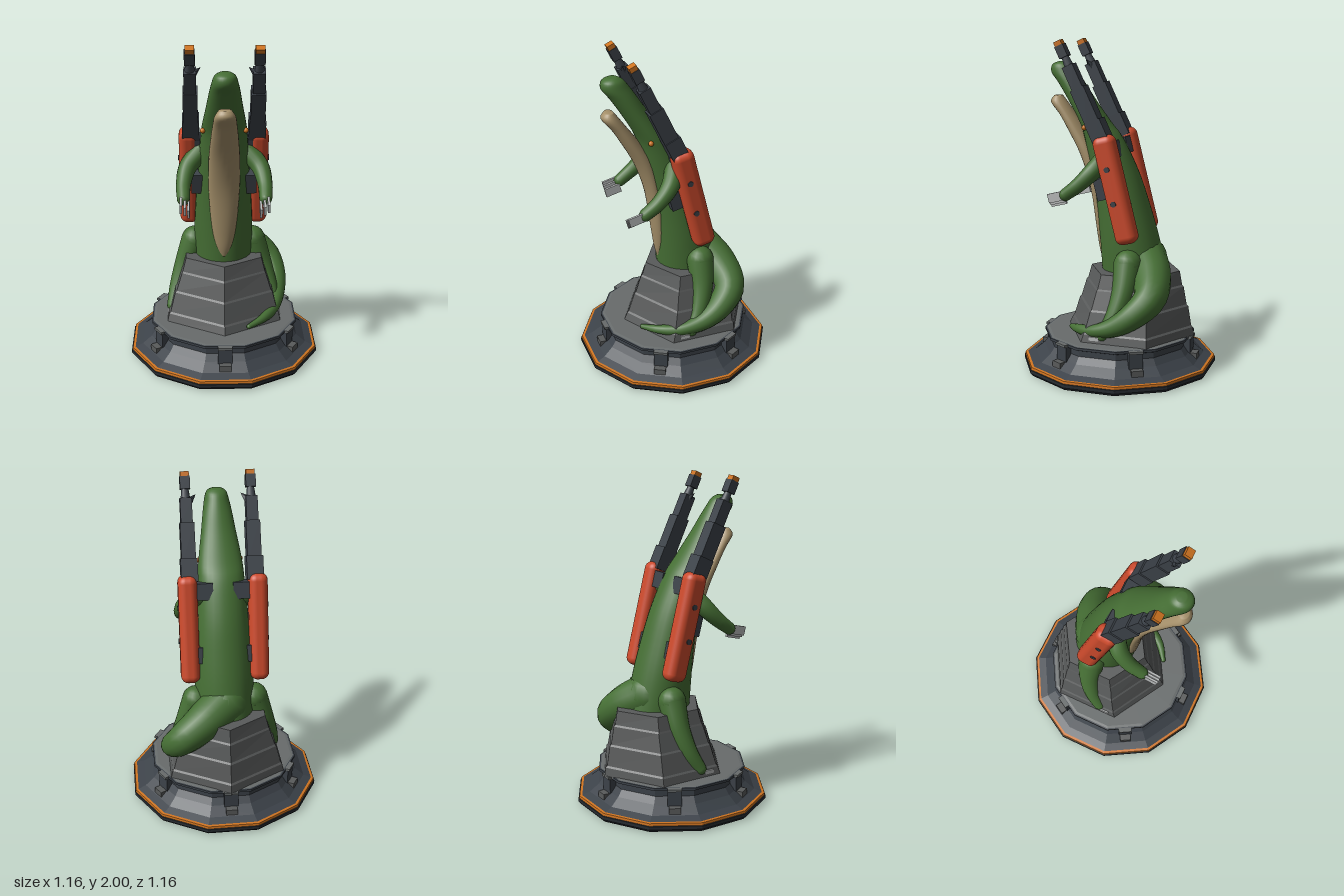
import * as THREE from 'three';
import { RoundedBoxGeometry } from 'three/addons/geometries/RoundedBoxGeometry.js';

const mat = (name, color) => Object.assign(new THREE.MeshStandardMaterial({ color }), { name });

// Faceted normals without touching the material
function flat(geo) {
  const g = geo.index ? geo.toNonIndexed() : geo;
  g.computeVertexNormals();
  return g;
}

// Skin over horizontal ellipses: [y, zFront, zBack, halfWidth]; both ends closed
function loft(rows, sides, offset = 0) {
  const first = rows[0], last = rows[rows.length - 1];
  const tip = ([y, f, b]) => [y, (f + b) / 2, (f + b) / 2, 0];
  const rings = [tip(first), ...rows, tip(last)];
  const pos = [], idx = [];
  rings.forEach(([y, f, b, w], i) => {
    for (let j = 0; j < sides; j++) {
      const a = (j / sides) * Math.PI * 2 + offset;
      pos.push(Math.cos(a) * w, y, (f + b) / 2 + (Math.sin(a) * (f - b)) / 2);
      if (i === rings.length - 1) continue;
      const p = i * sides + j, q = i * sides + ((j + 1) % sides);
      idx.push(p, p + sides, q, p + sides, q + sides, q);
    }
  });
  const g = new THREE.BufferGeometry();
  g.setAttribute('position', new THREE.Float32BufferAttribute(pos, 3));
  g.setIndex(idx);
  g.computeVertexNormals();
  return g;
}

// Refine loft rows with a spline so the outline is smooth
function smoothRows(rows, steps = 4) {
  const out = [];
  for (let i = 0; i < rows.length - 1; i++) {
    const [a, b, c, d] = [rows[Math.max(i - 1, 0)], rows[i], rows[i + 1], rows[Math.min(i + 2, rows.length - 1)]];
    for (let s = 0; s < steps; s++) {
      const t = s / steps;
      out.push(b.map((v, k) => 0.5 * (2 * v + (c[k] - a[k]) * t + (2 * a[k] - 5 * v + 4 * c[k] - d[k]) * t * t
        + (3 * v - a[k] - 3 * c[k] + d[k]) * t ** 3)));
    }
  }
  out.push(rows[rows.length - 1]);
  return out;
}

export function createModel() {
  const M = {
    green: mat('hide green', 0x456e34),
    tan: mat('belly tan', 0xa5906a),
    red: mat('housing red', 0xcc4a2c),
    steel: mat('gunmetal', 0x3c4249),
    dark: mat('base black', 0x272c31),
    rock: mat('rock grey', 0x595b5b),
    deck: mat('deck grey', 0x686c6c),
    orange: mat('glow orange', 0xcf7420),
    claw: mat('claw grey', 0xbcbebe),
  };
  const model = new THREE.Group();
  const add = (name, geo, material, parent = model) => {
    const m = new THREE.Mesh(geo, material);
    m.name = name;
    parent.add(m);
    return m;
  };
  const box = (name, size, at, material, parent) => {
    const m = add(name, new THREE.BoxGeometry(...size), material, parent);
    m.position.set(...at);
    return m;
  };

  // Tapered limb through points [x, y, z, radius] with round ends
  const limb = (name, pts, material, parent = model) => {
    const group = new THREE.Group();
    group.name = name;
    parent.add(group);
    const curve = new THREE.CatmullRomCurve3(pts.map(p => new THREE.Vector3(p[0], p[1], p[2])));
    const n = 28, sides = 16, geo = new THREE.TubeGeometry(curve, n, 1, sides);
    const pos = geo.attributes.position, v = new THREE.Vector3();
    for (let i = 0; i <= n; i++) {
      const c = curve.getPointAt(i / n);
      const f = (i / n) * (pts.length - 1), k = Math.min(Math.floor(f), pts.length - 2);
      const r = THREE.MathUtils.lerp(pts[k][3], pts[k + 1][3], f - k);
      for (let j = 0; j <= sides; j++) {
        const q = i * (sides + 1) + j;
        v.fromBufferAttribute(pos, q).sub(c).multiplyScalar(r).add(c);
        pos.setXYZ(q, v.x, v.y, v.z);
      }
    }
    add(name + 'Skin', geo, material, group);
    for (const p of [pts[0], pts[pts.length - 1]]) {
      add(name + 'End', new THREE.SphereGeometry(p[3], 16, 10), material, group).position.set(p[0], p[1], p[2]);
    }
  };

  // Twelve-sided base, radii measured to the flats
  const ring = (name, profile, material) => add(name, flat(new THREE.LatheGeometry(
    profile.map(([r, y]) => new THREE.Vector2(r / Math.cos(Math.PI / 12), y)), 12, Math.PI / 12)), material);
  ring('basePlate', [[0, 0], [0.565, 0], [0.58, 0.018], [0.58, 0.038], [0.57, 0.04]], M.dark);
  ring('glowBand', [[0.57, 0.038], [0.575, 0.04], [0.573, 0.055], [0.55, 0.058]], M.orange);
  ring('baseSkirt', [[0.56, 0.056], [0.51, 0.075], [0.455, 0.12], [0.425, 0.16], [0.425, 0.195],
    [0.45, 0.205], [0.45, 0.22], [0.43, 0.222]], M.steel);
  ring('deck', [[0.44, 0.221], [0.425, 0.224], [0, 0.224]], M.deck);

  // Six buttresses around the skirt
  for (let i = 0; i < 6; i++) {
    const spoke = new THREE.Group();
    spoke.name = 'buttress';
    spoke.rotation.y = (i * Math.PI) / 3;
    model.add(spoke);
    box('buttressBlock', [0.085, 0.11, 0.06], [0, 0.15, 0.435], M.steel, spoke);
    box('buttressCap', [0.085, 0.015, 0.06], [0, 0.213, 0.445], M.deck, spoke);
    box('buttressFoot', [0.07, 0.05, 0.06], [0, 0.09, 0.475], M.rock, spoke);
  }

  // Hexagonal rock with slight ledges
  add('rock', flat(loft([
    [0.21, 0.335, -0.48, 0.41], [0.27, 0.31, -0.47, 0.395], [0.28, 0.3, -0.46, 0.385], [0.4, 0.26, -0.44, 0.35],
    [0.41, 0.25, -0.43, 0.34], [0.52, 0.215, -0.41, 0.3], [0.53, 0.205, -0.4, 0.295], [0.615, 0.18, -0.385, 0.27],
  ], 6, Math.PI / 6)), M.rock);

  // Rearing body running up into the upper jaw
  add('body', loft(smoothRows([
    [0.55, 0.1, -0.31, 0.18], [0.8, 0.115, -0.25, 0.18], [1.0, 0.135, -0.19, 0.17], [1.2, 0.17, -0.12, 0.155],
    [1.4, 0.21, -0.02, 0.14], [1.5, 0.24, 0.06, 0.13], [1.64, 0.32, 0.16, 0.105], [1.74, 0.385, 0.225, 0.088],
    [1.8, 0.43, 0.265, 0.075], [1.845, 0.425, 0.3, 0.06], [1.865, 0.385, 0.335, 0.03],
  ]), 28), M.green);

  // Pale belly ending in the lower jaw
  add('bellyAndLowerJaw', loft(smoothRows([
    [0.65, 0.105, 0.06, 0.02], [0.72, 0.122, 0.05, 0.05], [0.85, 0.14, 0.05, 0.075], [1.1, 0.175, 0.08, 0.092],
    [1.3, 0.24, 0.12, 0.092], [1.46, 0.325, 0.22, 0.08], [1.55, 0.38, 0.285, 0.07], [1.62, 0.435, 0.335, 0.06],
    [1.66, 0.415, 0.365, 0.035],
  ]), 24), M.tan);

  // Tail curling round the rock on one side
  limb('tail', [[0, 0.68, -0.16, 0.14], [0.15, 0.59, -0.25, 0.125], [0.27, 0.5, -0.27, 0.105],
    [0.325, 0.41, -0.19, 0.085], [0.335, 0.33, -0.07, 0.065], [0.31, 0.285, 0.07, 0.042],
    [0.24, 0.27, 0.19, 0.03], [0.15, 0.25, 0.26, 0.015]], M.green);

  for (const s of [1, -1]) {
    // Legs straddling the rock
    limb('leg', [[s * 0.18, 0.68, -0.11, 0.085], [s * 0.24, 0.52, -0.1, 0.07], [s * 0.29, 0.38, -0.06, 0.055],
      [s * 0.32, 0.27, 0, 0.04]], M.green);
    // Arms reaching forward
    limb('arm', [[s * 0.14, 1.31, 0.04, 0.06], [s * 0.215, 1.23, 0.1, 0.055], [s * 0.24, 1.15, 0.18, 0.045],
      [s * 0.24, 1.09, 0.26, 0.038]], M.green);
    for (const k of [-1, 0, 1]) {
      box('footClaw', [0.012, 0.022, 0.06], [s * 0.325 + k * 0.022, 0.25, 0.05], M.claw);
      const c = box('handClaw', [0.014, 0.055, 0.1], [s * (0.232 + k * 0.022), 1.06 + k * 0.015, 0.315], M.claw);
      c.rotation.x = 0.25;
    }
    add('eye', new THREE.SphereGeometry(0.016, 12, 8), M.orange).position.set(s * 0.125, 1.48, 0.18);

    // Brackets holding the gun to the back
    box('upperBracket', [0.12, 0.1, 0.1], [s * 0.12, 1.35, 0.02], M.steel).rotation.x = 0.25;
    box('lowerBracket', [0.1, 0.13, 0.12], [s * 0.145, 1.13, 0.03], M.steel).rotation.x = 0.25;
    box('rearBracket', [0.12, 0.1, 0.08], [s * 0.12, 0.98, -0.09], M.steel).rotation.x = 0.25;

    // Red gun housing with bolts
    const housing = new THREE.Group();
    housing.name = 'gunHousing';
    housing.position.set(s * 0.21, 1.13, -0.045);
    housing.rotation.x = 0.245;
    model.add(housing);
    add('housingShell', new RoundedBoxGeometry(0.115, 0.655, 0.135, 4, 0.045), M.red, housing);
    for (const [y, z] of [[0.13, 0.005], [-0.075, 0.015]]) {
      const bolt = add('bolt', new THREE.CylinderGeometry(0.017, 0.017, 0.008, 12), M.steel, housing);
      bolt.position.set(s * 0.059, y, z);
      bolt.rotation.z = Math.PI / 2;
    }

    // Stepped barrel with glowing muzzle
    const barrel = new THREE.Group();
    barrel.name = 'gunBarrel';
    barrel.position.set(s * 0.195, 1.42, 0.045);
    barrel.rotation.x = 0.44;
    model.add(barrel);
    box('barrelCollar', [0.1, 0.14, 0.1], [0, 0.05, -0.005], M.steel, barrel);
    box('barrelBody', [0.085, 0.24, 0.09], [0, 0.21, 0], M.steel, barrel);
    box('barrelSleeve', [0.07, 0.15, 0.07], [0, 0.4, 0], M.steel, barrel);
    add('barrelNeck', new THREE.CylinderGeometry(0.02, 0.03, 0.08, 12), M.steel, barrel).position.set(0, 0.5, 0);
    box('muzzle', [0.06, 0.075, 0.055], [0, 0.565, 0], M.steel, barrel);
    box('muzzleGlow', [0.052, 0.028, 0.046], [0, 0.616, 0], M.orange, barrel);
    const fin = add('barrelFin', new THREE.ConeGeometry(0.025, 0.06, 4), M.steel, barrel);
    fin.position.set(-s * 0.04, 0.475, 0);
    fin.rotation.z = s * 0.8;
  }
  return model;
}
